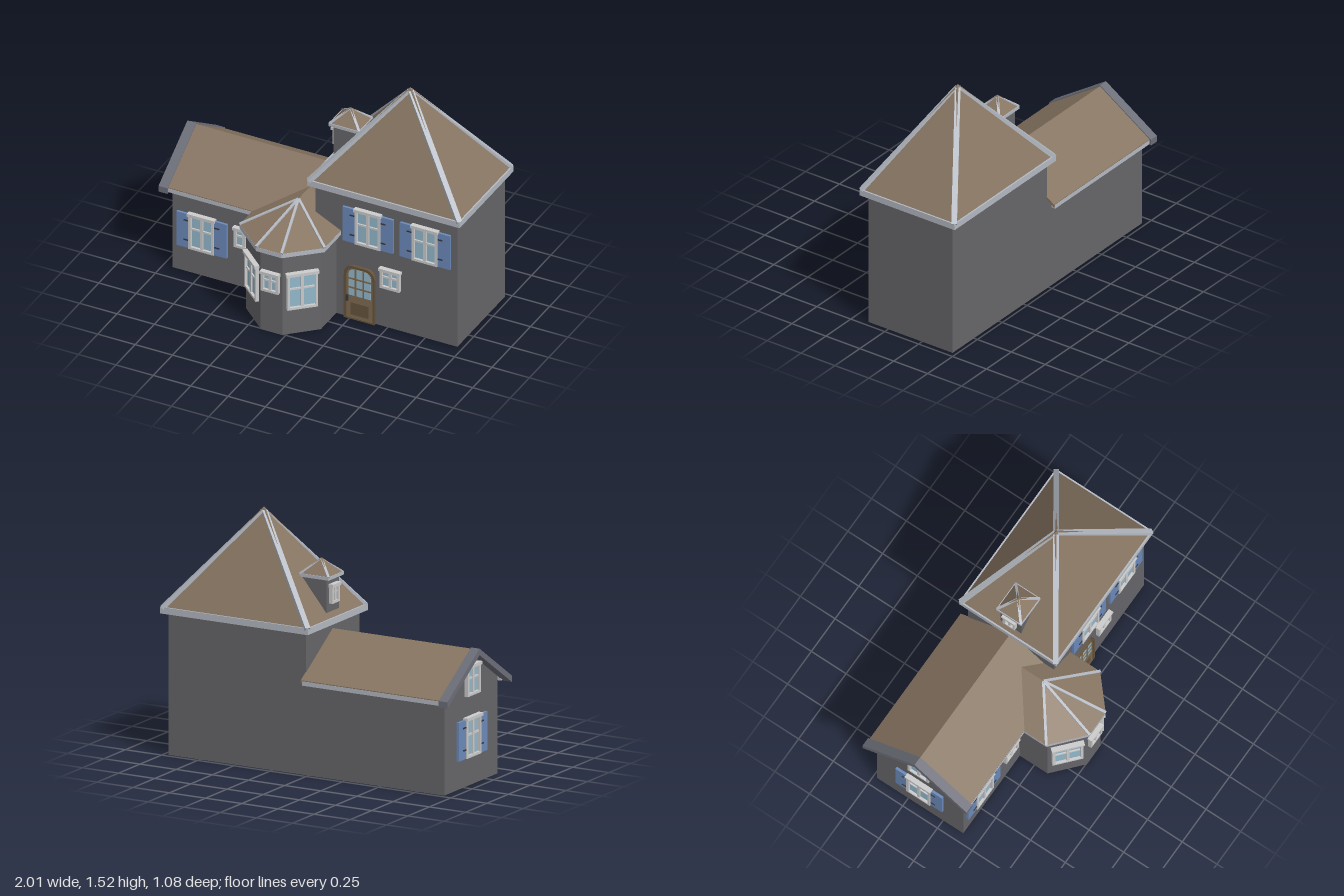
import * as THREE from 'three';

const mat = (color) => new THREE.MeshStandardMaterial({ color, side: THREE.DoubleSide, flatShading: true });
const M = {
  wall: mat(0x66666a), roof: mat(0x877562), trim: mat(0xb4b9c2), gable: mat(0x6c6e78), frame: mat(0xcccccc),
  glass: mat(0x93b9cc), shutter: mat(0x6b8abb), hinge: mat(0x34373f), door: mat(0x7d6a50), doorDark: mat(0x66543d),
};

function add(parent, name, geo, material, x = 0, y = 0, z = 0) {
  const m = new THREE.Mesh(geo, material);
  m.name = name;
  m.position.set(x, y, z);
  parent.add(m);
  return m;
}

// Box given by its min and max corners
function block(parent, name, material, x0, x1, y0, y1, z0, z1) {
  return add(parent, name, new THREE.BoxGeometry(x1 - x0, y1 - y0, z1 - z0), material,
    (x0 + x1) / 2, (y0 + y1) / 2, (z0 + z1) / 2);
}

const shapeOf = (pts) => new THREE.Shape(pts.map(([a, b]) => new THREE.Vector2(a, b)));
const extrude = (shape, depth) => new THREE.ExtrudeGeometry(shape, { depth, bevelEnabled: false, curveSegments: 10 });

// Floor plan of [x, z] points raised from y0 to y1
function prism(parent, name, material, plan, y0, y1) {
  const geo = extrude(shapeOf(plan.map(([x, z]) => [x, -z])), y1 - y0).rotateX(-Math.PI / 2);
  return add(parent, name, geo, material, 0, y0, 0);
}

// Cross-section of [z, y] points drawn out along x
function alongX(parent, name, material, section, x0, x1) {
  const geo = extrude(shapeOf(section.map(([z, y]) => [-z, y])), x1 - x0).rotateY(Math.PI / 2);
  return add(parent, name, geo, material, x0, 0, 0);
}

function triangles(parent, name, material, tris) {
  const geo = new THREE.BufferGeometry();
  geo.setAttribute('position', new THREE.Float32BufferAttribute(tris.flat(2), 3));
  geo.computeVertexNormals();
  return add(parent, name, geo, material);
}

// Square bar between two points, used for the roof hips
function bar(parent, name, material, a, b, w) {
  const from = new THREE.Vector3(...a), to = new THREE.Vector3(...b);
  const m = new THREE.Mesh(new THREE.BoxGeometry(w, w, from.distanceTo(to)), material);
  m.name = name;
  m.position.copy(from).lerp(to, 0.5);
  m.lookAt(to);
  parent.add(m);
}

// Pyramid roof with an eave band and four hip bars
function hippedRoof(parent, name, x0, x1, z0, z1, yEave, band, yApex, w) {
  const g = new THREE.Group();
  g.name = name;
  parent.add(g);
  block(g, 'eaveBand', M.trim, x0, x1, yEave, yEave + band, z0, z1);
  const y = yEave + band, apex = [(x0 + x1) / 2, yApex, (z0 + z1) / 2], i = w * 0.3;
  const c = [[x0 + i, y, z1 - i], [x1 - i, y, z1 - i], [x1 - i, y, z0 + i], [x0 + i, y, z0 + i]];
  triangles(g, 'slopes', M.roof, c.map((p, k) => [p, c[(k + 1) % 4], apex]));
  const tip = [apex[0], yApex - w * 0.9, apex[2]];
  c.forEach((p) => bar(g, 'hip', M.trim, [p[0], y - w * 0.3, p[2]], tip, w));
}

// Window facing +z, centred on its group; shutter is the width of each shutter
function windowUnit(parent, name, w, h, pos, turn = 0, shutter = 0) {
  const g = new THREE.Group();
  g.name = name;
  g.position.set(...pos);
  g.rotation.y = turn;
  parent.add(g);
  const t = 0.016, X = w / 2, Y = h / 2, d = 0.024;
  block(g, 'glass', M.glass, -X + t, X - t, -Y + t, Y - t, 0, 0.008);
  for (const s of [-1, 1]) {
    block(g, 'jamb', M.frame, s * X - (s > 0 ? t : 0), s * X + (s > 0 ? 0 : t), -Y, Y, 0, d);
    // Sash stiles beside the middle
    block(g, 'sash', M.frame, s * X * 0.42 - X * 0.38, s * X * 0.42 + X * 0.38, Y * 0.12 - 0.006, Y * 0.12 + 0.006, 0, 0.017);
  }
  block(g, 'mullion', M.frame, -0.009, 0.009, -Y, Y, 0, 0.02);
  block(g, 'sill', M.frame, -X, X, -Y, -Y + t, 0, d);
  block(g, 'lintel', M.frame, -X - 0.006, X + 0.006, Y - t * 1.2, Y, 0, d + 0.008);
  if (!shutter) return;
  for (const s of [-1, 1]) {
    const cx = s * (X + shutter / 2);
    block(g, 'shutter', M.shutter, cx - shutter / 2, cx + shutter / 2, -Y, Y - 0.012, 0, 0.016);
    for (const hy of [-0.55, 0.55]) {
      const hx = s * (X + 0.018);
      block(g, 'hinge', M.hinge, hx - 0.016, hx + 0.016, Y * hy - 0.004, Y * hy + 0.004, 0.014, 0.021);
    }
  }
}

// Doorway outline with a flattened arch
function archShape(hw, y0, spring, top) {
  const s = new THREE.Shape();
  s.moveTo(-hw, y0);
  s.lineTo(hw, y0);
  s.lineTo(hw, spring);
  s.bezierCurveTo(hw, top - 0.015, hw * 0.7, top, hw * 0.4, top);
  s.lineTo(-hw * 0.4, top);
  s.bezierCurveTo(-hw * 0.7, top, -hw, top - 0.015, -hw, spring);
  return s;
}

function frontDoor(parent, x, z) {
  const g = new THREE.Group();
  g.name = 'frontDoor';
  g.position.set(x, 0, z);
  parent.add(g);
  add(g, 'doorLeaf', extrude(archShape(0.095, 0, 0.3, 0.37), 0.01), M.door);
  const rim = archShape(0.103, 0, 0.3, 0.376);
  rim.holes.push(archShape(0.088, 0.01, 0.3, 0.36));
  add(g, 'doorFrame', extrude(rim, 0.018), M.doorDark);
  add(g, 'doorGlass', extrude(archShape(0.074, 0.165, 0.31, 0.352), 0.012), M.glass);
  for (const bx of [-0.026, 0.026]) block(g, 'glazingBar', M.door, bx - 0.005, bx + 0.005, 0.165, 0.354, 0, 0.016);
  for (const by of [0.222, 0.285]) block(g, 'glazingBar', M.door, -0.076, 0.076, by - 0.005, by + 0.005, 0, 0.016);
  block(g, 'lowerPanel', M.doorDark, -0.06, 0.06, 0.03, 0.115, 0, 0.014);
  block(g, 'handle', M.hinge, -0.087, -0.075, 0.125, 0.165, 0.008, 0.026);
}

export function createModel() {
  const house = new THREE.Group();
  house.name = 'house';
  const zBack = -0.475, zFront = 0.145, zMid = -0.165;

  // Tower block
  block(house, 'towerWalls', M.wall, 0.015, 0.965, 0, 0.88, zBack, zFront);
  hippedRoof(house, 'towerRoof', -0.02, 1, -0.515, 0.185, 0.873, 0.04, 1.52, 0.034);

  // Dormer on the left slope of the tower roof
  block(house, 'dormerWalls', M.wall, 0.015, 0.18, 0.9, 1.16, -0.24, -0.09);
  hippedRoof(house, 'dormerRoof', -0.01, 0.195, -0.255, -0.075, 1.148, 0.02, 1.26, 0.016);
  windowUnit(house, 'dormerWindow', 0.085, 0.12, [0.015, 1.055, zMid], -Math.PI / 2);

  // Low wing with a pitched roof
  alongX(house, 'wingWalls', M.wall,
    [[zBack, 0], [zFront, 0], [zFront, 0.605], [zMid, 0.81], [zBack, 0.605]], -0.94, 0.02);
  const chevron = (half, ridge, drop, thick) => [
    [zMid - half, ridge - drop], [zMid, ridge], [zMid + half, ridge - drop],
    [zMid + half, ridge - drop - thick], [zMid, ridge - thick], [zMid - half, ridge - drop - thick]];
  alongX(house, 'wingRoof', M.roof, chevron(0.365, 0.835, 0.24, 0.02), -0.95, 0.02);
  alongX(house, 'gableBoard', M.gable, chevron(0.375, 0.842, 0.247, 0.04), -1, -0.94);
  for (const s of [-1, 1]) {
    const z = zMid + s * 0.353;
    block(house, 'wingGutter', M.trim, -0.945, 0.01, 0.563, 0.59, z - 0.013, z + 0.013);
  }

  // Bay with splayed sides
  prism(house, 'bayWalls', M.wall,
    [[-0.345, 0.1], [-0.345, 0.345], [-0.165, 0.505], [-0.02, 0.505], [0.155, 0.345], [0.155, 0.1]], 0, 0.575);
  const plan = [[-0.38, 0.14], [-0.38, 0.36], [-0.18, 0.535], [-0.01, 0.535], [0.187, 0.36], [0.187, 0.14]];
  prism(house, 'bayEaveBand', M.trim, plan, 0.563, 0.592);
  const eave = plan.map(([x, z]) => [x, 0.593, z]);
  const apex = [-0.097, 0.735, 0.14], ridgeEnd = [-0.097, 0.735, -0.02];
  const tris = eave.slice(0, -1).map((p, k) => [p, eave[k + 1], apex]);
  tris.push([ridgeEnd, [-0.38, 0.593, -0.02], eave[0]], [ridgeEnd, eave[0], apex]);
  tris.push([apex, eave[5], [0.187, 0.593, -0.02]], [apex, [0.187, 0.593, -0.02], ridgeEnd]);
  triangles(house, 'bayRoof', M.roof, tris);
  eave.slice(1, 5).forEach((p) => bar(house, 'bayHip', M.trim, p, [apex[0], 0.731, 0.145], 0.016));

  // Bay windows
  windowUnit(house, 'bayFrontWindow', 0.115, 0.14, [-0.095, 0.36, 0.505]);
  windowUnit(house, 'bayLeftWindow', 0.19, 0.255, [0.0675, 0.308, 0.425], 0.74);
  windowUnit(house, 'bayRightWindow', 0.19, 0.255, [-0.255, 0.308, 0.425], -0.727);

  // Front windows: shuttered, then small ones
  for (const [x, y] of [[0.373, 0.665], [0.755, 0.665], [-0.738, 0.303]])
    windowUnit(house, 'shutteredWindow', 0.17, 0.25, [x, y, zFront], 0, 0.083);
  for (const x of [-0.455, 0.522]) windowUnit(house, 'smallWindow', 0.13, 0.14, [x, 0.352, zFront]);

  // Gable end windows
  windowUnit(house, 'gableWindow', 0.17, 0.25, [-0.94, 0.303, zMid], -Math.PI / 2, 0.083);
  windowUnit(house, 'atticWindow', 0.15, 0.19, [-0.94, 0.65, zMid], -Math.PI / 2);

  frontDoor(house, 0.317, zFront);
  return house;
}
